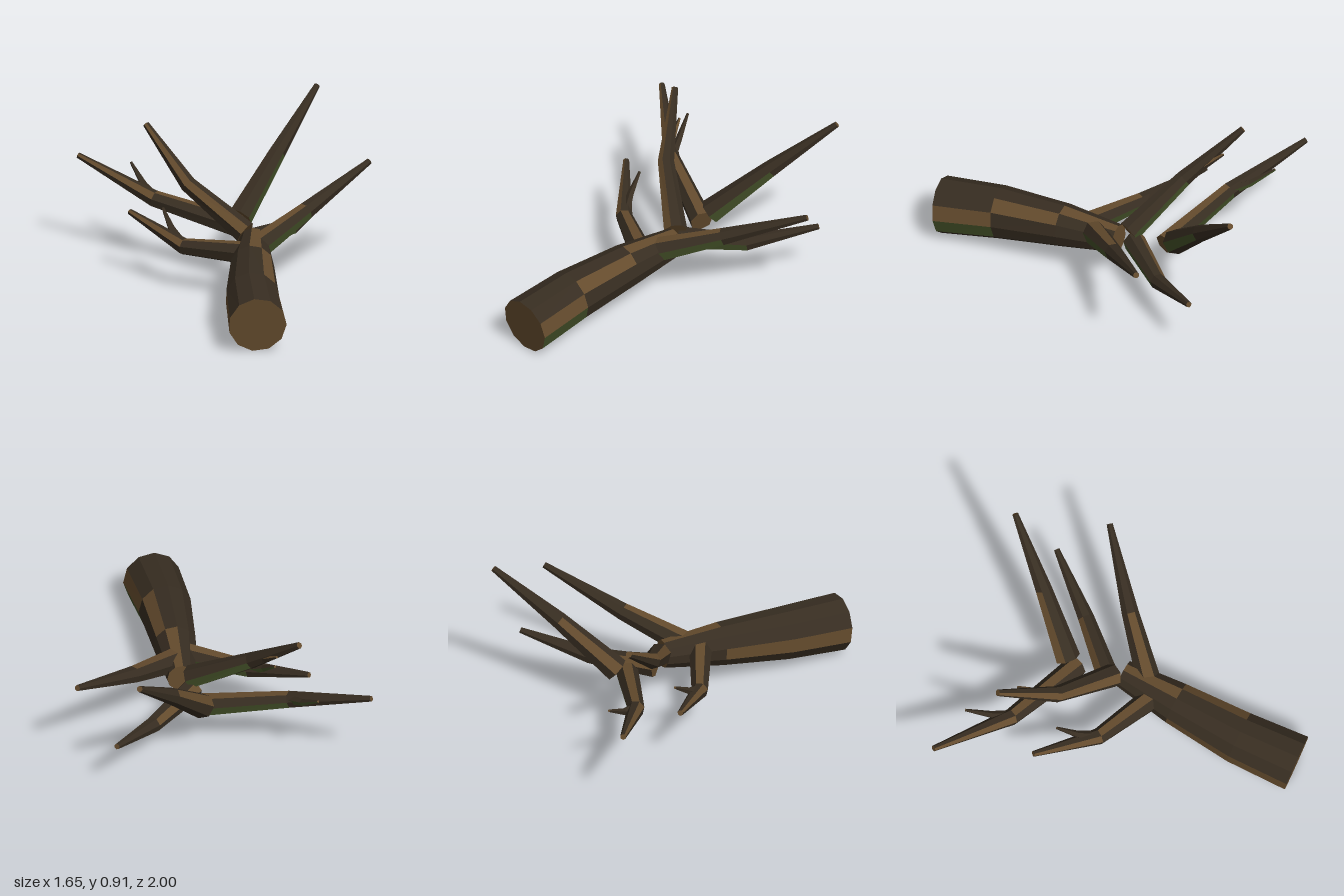
import * as THREE from 'three';

const mat = (name, color) => {
  const m = new THREE.MeshStandardMaterial({ color });
  m.name = name;
  return m;
};

export function createModel() {
  const materials = [mat('bark', 0x372d21), mat('wood', 0x644b2d), mat('moss', 0x455229)];
  const BARK = 0, WOOD = 1, MOSS = 2;
  const model = new THREE.Group();
  model.name = 'fallenTree';

  // Faceted tapering limb through [x, y, z, radius] stations.
  // Each panel [segment, material, x, y, z] recolours the side facing that direction.
  function limb(name, stations, sides, startAngle, panels = []) {
    const points = stations.map(s => new THREE.Vector3(s[0], s[1], s[2]));
    const last = points.length - 1;
    const rings = points.map((p, k) => {
      const t = new THREE.Vector3();
      if (k > 0) t.add(p.clone().sub(points[k - 1]).normalize());
      if (k < last) t.add(points[k + 1].clone().sub(p).normalize());
      t.normalize();
      const v = new THREE.Vector3(0, 1, 0).addScaledVector(t, -t.y).normalize();
      const u = t.clone().cross(v);
      return Array.from({ length: sides }, (_, j) => {
        const a = startAngle + j * 2 * Math.PI / sides;
        return p.clone().addScaledVector(u, Math.cos(a) * stations[k][3])
          .addScaledVector(v, Math.sin(a) * stations[k][3]);
      });
    });

    const buckets = materials.map(() => []);
    const tri = (m, ...corners) => corners.forEach(c => buckets[m].push(c.x, c.y, c.z));

    // Sides
    for (let k = 0; k < last; k++) {
      const colours = new Array(sides).fill(BARK);
      const mid = points[k].clone().add(points[k + 1]).multiplyScalar(0.5);
      const outward = rings[k].map((a, j) => {
        const n = (j + 1) % sides;
        return a.clone().add(rings[k][n]).add(rings[k + 1][j]).add(rings[k + 1][n])
          .multiplyScalar(0.25).sub(mid).normalize();
      });
      for (const [segment, m, x, y, z] of panels) {
        if (segment !== k) continue;
        const d = new THREE.Vector3(x, y, z);
        const scores = outward.map(o => o.dot(d));
        colours[scores.indexOf(Math.max(...scores))] = m;
      }
      for (let j = 0; j < sides; j++) {
        const n = (j + 1) % sides;
        const a = rings[k][j], b = rings[k][n], c = rings[k + 1][n], d = rings[k + 1][j];
        tri(colours[j], a, d, c);
        tri(colours[j], a, c, b);
      }
    }
    // Sawn ends
    for (let j = 0; j < sides; j++) {
      const n = (j + 1) % sides;
      tri(WOOD, points[0], rings[0][j], rings[0][n]);
      tri(WOOD, points[last], rings[last][n], rings[last][j]);
    }

    const g = new THREE.BufferGeometry();
    g.setAttribute('position', new THREE.Float32BufferAttribute(buckets.flat(), 3));
    let start = 0;
    buckets.forEach((b, m) => {
      if (b.length) g.addGroup(start, b.length / 3, m);
      start += b.length / 3;
    });
    g.computeVertexNormals();
    const mesh = new THREE.Mesh(g, materials);
    mesh.name = name;
    model.add(mesh);
  }

  // Trunk lying along z, narrowing towards the back
  limb('trunk', [
    [0.025, 0.165, 0.983, 0.167], [0.03, 0.209, 0.625, 0.155],
    [0.07, 0.251, 0.22, 0.126], [0.113, 0.276, -0.125, 0.082],
  ], 11, -0.02, [
    [0, WOOD, 0.97, 0.26, 0], [0, MOSS, 0.96, -0.29, 0], [0, WOOD, -1, 0.02, 0],
    [1, WOOD, 0.67, 0.74, 0], [1, WOOD, -1, 0.02, 0], [2, WOOD, 0.16, 0.99, 0],
  ]);

  // Main branches
  const branch = (name, stations, panels) => limb(name, stations, 7, 0.2, panels);
  branch('leftFrontBranch',
    [[0.13, 0.295, 0.02, 0.072], [0.42, 0.415, -0.21, 0.051], [0.815, 0.6, -0.5, 0.018]],
    [[0, WOOD, -0.2, 1, 0], [0, MOSS, 0.6, -0.2, 0.7]]);
  branch('leftLowBranch',
    [[0.065, 0.245, -0.2, 0.066], [0.36, 0.232, -0.46, 0.048], [0.643, 0.34, -0.757, 0.017]],
    [[0, WOOD, -0.4, 1, -0.3], [0, MOSS, 0.7, -0.2, 0.7]]);
  branch('leftTallBranch',
    [[0.068, 0.308, -0.452, 0.074], [0.305, 0.6, -0.7, 0.05], [0.563, 0.9, -0.98, 0.018]],
    [[0, WOOD, -0.7, 0.6, -0.2], [0, MOSS, 0.8, -0.5, 0.3]]);
  branch('rightLongBranch',
    [[0.06, 0.268, -0.388, 0.067], [-0.41, 0.38, -0.6, 0.05], [-0.815, 0.545, -0.917, 0.017]],
    [[0, WOOD, 0.2, 0.9, 0.4], [1, WOOD, 0.4, 0.4, 0.8], [0, MOSS, 0.5, -0.1, -0.8]]);
  branch('rightTallBranch',
    [[0.07, 0.31, -0.17, 0.069], [-0.235, 0.535, -0.39, 0.048], [-0.45, 0.81, -0.67, 0.019]],
    [[0, WOOD, 0.3, 0.5, 0.8], [1, WOOD, -0.5, 0.4, 0.6], [0, MOSS, 0.3, -0.3, -0.8]]);
  branch('rightLowBranch',
    [[0.03, 0.28, 0.08, 0.067], [-0.29, 0.262, -0.11, 0.049], [-0.572, 0.38, -0.4, 0.017]],
    [[0, WOOD, 0, 0.9, 0.4], [1, WOOD, 0, 0.7, 0.7], [0, MOSS, 0.5, -0.1, -0.8]]);

  // Small side twigs
  const twig = (name, stations, panels) => limb(name, stations, 5, 0.3, panels);
  twig('longBranchTwig',
    [[-0.41, 0.39, -0.61, 0.03], [-0.46, 0.43, -0.71, 0.021], [-0.52, 0.52, -0.84, 0.008]],
    [[0, MOSS, 0.6, -0.3, -0.6], [1, MOSS, 0.6, -0.3, -0.6]]);
  twig('lowBranchTwig',
    [[-0.3, 0.275, -0.13, 0.03], [-0.35, 0.335, -0.22, 0.021], [-0.388, 0.42, -0.33, 0.008]],
    [[0, MOSS, 0.6, -0.3, -0.6], [1, MOSS, 0.6, -0.3, -0.6]]);
  twig('tallBranchTwig',
    [[-0.235, 0.54, -0.4, 0.03], [-0.29, 0.61, -0.49, 0.021], [-0.335, 0.69, -0.595, 0.008]],
    [[1, WOOD, 0.8, 0.3, 0]]);

  return model;
}
